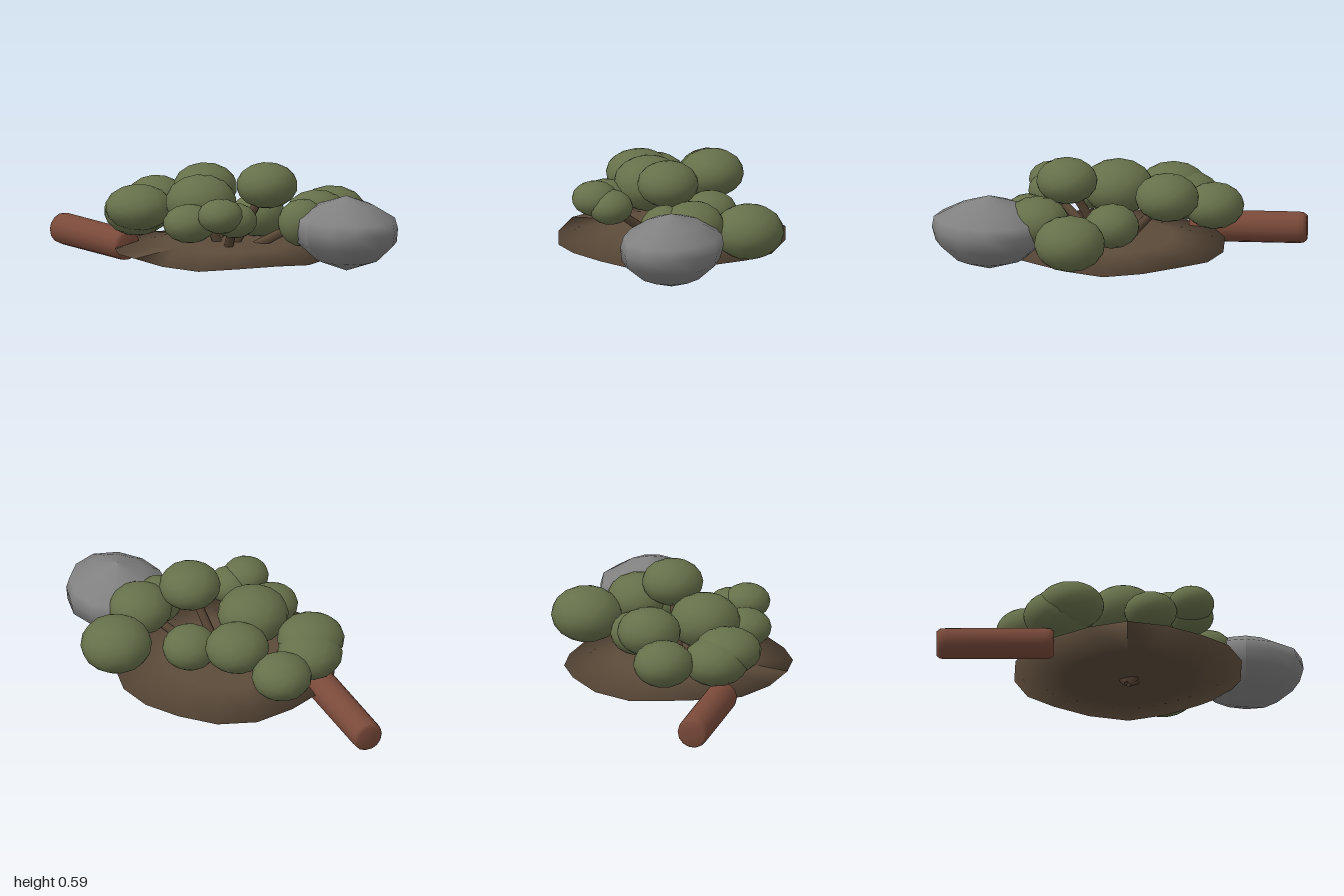
import * as THREE from 'three';

const mat = (name, color, double) => {
  const m = new THREE.MeshStandardMaterial({ color });
  m.name = name;
  if (double) m.side = THREE.DoubleSide;
  return m;
};

export function createModel() {
  const group = new THREE.Group();
  const soil = mat('soil brown', 0x5c4b3a);
  const bark = mat('stem brown', 0x5a4836);
  const leaf = mat('leaf green', 0x66704a);
  const stone = mat('stone grey', 0x808080);
  const wood = mat('log red brown', 0x7a4a3a);

  const add = (name, geometry, material, x = 0, y = 0, z = 0) => {
    const mesh = new THREE.Mesh(geometry, material);
    mesh.name = name;
    mesh.position.set(x, y, z);
    group.add(mesh);
    return mesh;
  };
  const lathe = (points, sides) =>
    new THREE.LatheGeometry(points.map(([r, y]) => new THREE.Vector2(r, y)), sides);

  // Shallow lens of earth with a gently wavy rim
  const earth = lathe([[0, 0.04], [0.34, 0.055], [0.62, 0.1], [0.34, 0.138], [0, 0.15]], 18);
  const p = earth.attributes.position;
  for (let i = 0; i < p.count; i++) {
    const r = Math.hypot(p.getX(i), p.getZ(i));
    const a = Math.atan2(p.getZ(i), p.getX(i));
    const k = 1 + 0.02 * Math.sin(2 * a + 0.4);
    p.setXYZ(i, p.getX(i) * k, p.getY(i) + 0.012 * (r / 0.62) ** 2 * Math.sin(5 * a), p.getZ(i) * k);
  }
  earth.computeVertexNormals();
  add('earthMound', earth, soil, 0.04, 0, 0.08);

  // Leaf clumps: x, y, z, radius, half height, has a stem
  const clumps = [
    [0.225, 0.26, -0.49, 0.195, 0.15, false],
    [0.42, 0.31, -0.25, 0.175, 0.135, true],
    [0.48, 0.29, -0.11, 0.135, 0.13, false],
    [0.02, 0.26, -0.145, 0.15, 0.12, false],
    [-0.27, 0.385, 0, 0.175, 0.13, true],
    [-0.515, 0.3, 0.15, 0.165, 0.125, false],
    [-0.27, 0.32, 0.445, 0.185, 0.125, false],
    [-0.35, 0.28, 0.4, 0.18, 0.13, false],
    [0.015, 0.37, 0.235, 0.195, 0.15, true],
    [0.275, 0.475, -0.02, 0.168, 0.125, true],
    [0.165, 0.295, 0.42, 0.145, 0.105, false],
    [0.385, 0.33, 0.275, 0.123, 0.095, true],
    [0.385, 0.365, 0.37, 0.127, 0.095, false],
  ];
  const base = new THREE.Vector3(0.04, 0.03, 0.09);
  const up = new THREE.Vector3(0, 1, 0);
  clumps.forEach(([x, y, z, r, h, hasStem]) => {
    add('leafClump', new THREE.IcosahedronGeometry(1, 2), leaf, x, y, z).scale.set(r, h, r);
    if (!hasStem) return;
    // Stem leaning from the shared root to its clump
    const dir = new THREE.Vector3(x, y, z).sub(base);
    const length = dir.length();
    const mid = base.clone().addScaledVector(dir, 0.5);
    add('stem', new THREE.CylinderGeometry(0.022, 0.03, length, 7), bark, mid.x, mid.y, mid.z)
      .quaternion.setFromUnitVectors(up, dir.normalize());
  });

  // Boulder: rounded, blunt-edged, with a slightly uneven outline
  const boulder = lathe([
    [0, -0.21], [0.17, -0.145], [0.265, -0.055], [0.278, 0.02], [0.265, 0.08], [0.15, 0.15], [0, 0.205],
  ], 12);
  const b = boulder.attributes.position;
  for (let i = 0; i < b.count; i++) {
    const a = Math.atan2(b.getZ(i), b.getX(i));
    const k = 1 + 0.025 * Math.sin(3 * a + b.getY(i) * 12);
    b.setX(i, b.getX(i) * 1.12 * k);
    b.setZ(i, b.getZ(i) * 0.98 * k);
  }
  boulder.computeVertexNormals();
  add('boulder', boulder, stone, 0.68, 0.25, -0.26);

  // Fallen log with softened ends
  const log = lathe([
    [0, -0.32], [0.068, -0.32], [0.083, -0.3], [0.086, -0.27], [0.086, 0.27], [0.083, 0.3], [0.068, 0.32], [0, 0.32],
  ], 14);
  add('fallenLog', log, wood, -0.68, 0.095, 0.445).rotation.z = Math.PI / 2;

  return group;
}
